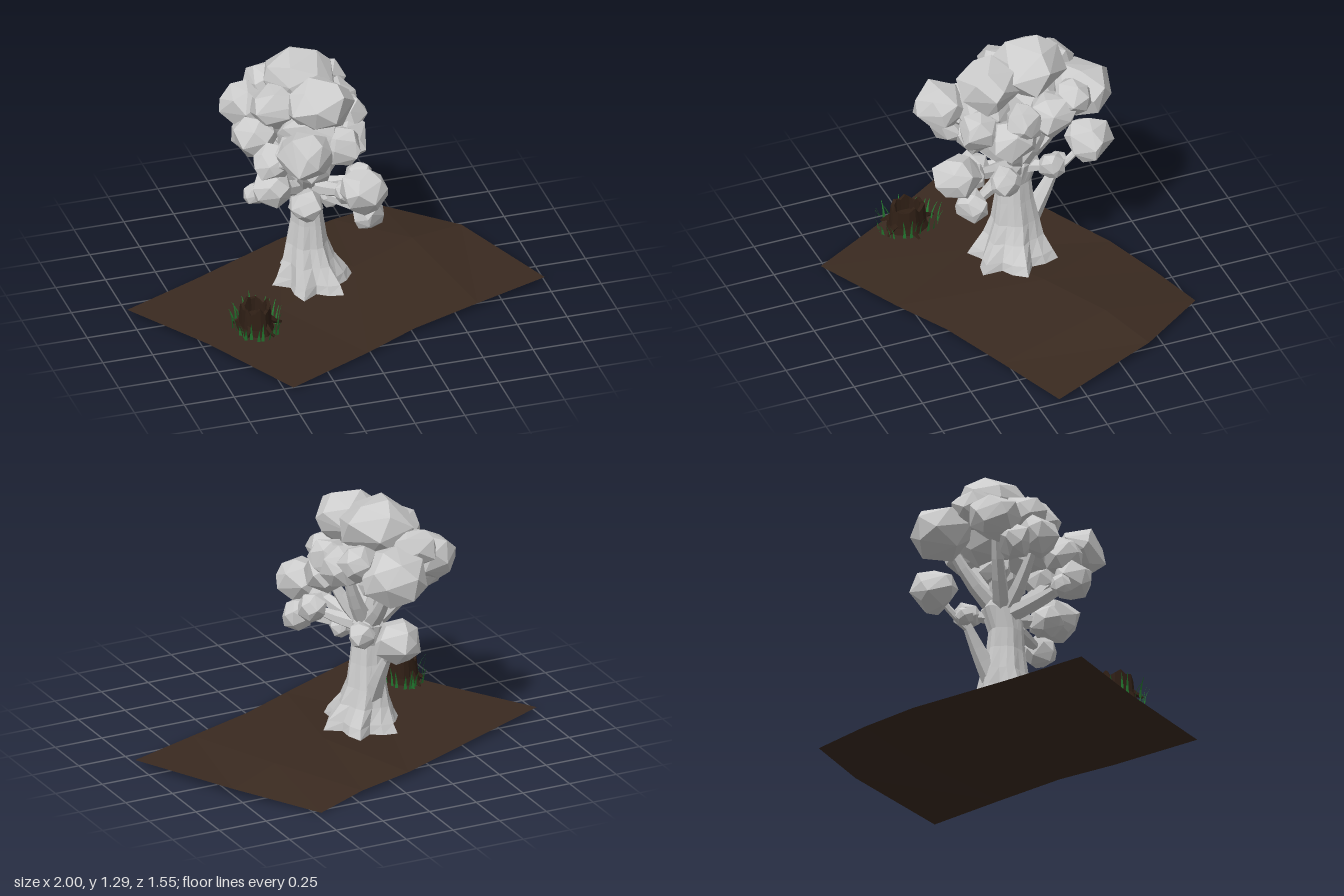
import * as THREE from 'three';
import { ConvexGeometry } from 'three/addons/geometries/ConvexGeometry.js';

let seed = 7;
const rand = () => (seed = (seed * 16807) % 2147483647) / 2147483647;
const vec = (p) => new THREE.Vector3(...p);

// Facets a geometry by giving each face its own normals
function faceted(geo) {
  const g = geo.index ? geo.toNonIndexed() : geo;
  g.computeVertexNormals();
  return g;
}

function add(parent, name, geo, mat) {
  const mesh = new THREE.Mesh(geo, mat);
  mesh.name = name;
  parent.add(mesh);
  return mesh;
}

// Surface through a grid of points, row by row
function sheet(rows) {
  const w = rows[0].length, index = [];
  for (let r = 0; r < rows.length - 1; r++) {
    for (let c = 0; c < w - 1; c++) {
      const a = r * w + c, b = a + w;
      index.push(a, b, a + 1, a + 1, b, b + 1);
    }
  }
  const g = new THREE.BufferGeometry();
  g.setAttribute('position', new THREE.Float32BufferAttribute(rows.flat(2), 3));
  g.setIndex(index);
  return faceted(g);
}

// Tapered tube along a smooth path
function limb(points, r0, r1, sides = 6, segs = 5) {
  const curve = new THREE.CatmullRomCurve3(points.map(vec));
  const g = new THREE.TubeGeometry(curve, segs, 1, sides);
  const p = g.attributes.position, v = new THREE.Vector3();
  for (let i = 0; i < p.count; i++) {
    const t = Math.floor(i / (sides + 1)) / segs, c = curve.getPointAt(t);
    v.fromBufferAttribute(p, i).sub(c).multiplyScalar(r0 + (r1 - r0) * t).add(c);
    p.setXYZ(i, v.x, v.y, v.z);
  }
  return faceted(g);
}

// Irregular faceted clump: hull of scattered points on a ball, larger ones flatter
function clump([x, y, z, r]) {
  const n = 20, turn = rand() * 6.28, flat = 1.15 - 2 * r, pts = [];
  for (let i = 0; i < n; i++) {
    const h = 1 - (2 * (i + 0.5)) / n, a = i * 2.4 + turn + (rand() - 0.5) * 0.8;
    const s = Math.sqrt(1 - h * h), k = r * (0.96 + rand() * 0.17);
    pts.push(new THREE.Vector3(x + s * Math.cos(a) * k, y + flat * h * k, z + s * Math.sin(a) * k));
  }
  return new ConvexGeometry(pts);
}

export function createModel() {
  const model = new THREE.Group();
  const material = (name, color, side = THREE.FrontSide) => {
    const m = new THREE.MeshStandardMaterial({ color, side });
    m.name = name;
    return m;
  };
  const grey = material('pale grey', 0xcccccc);
  const soil = material('soil brown', 0x3a2a20, THREE.DoubleSide);
  const bark = material('dark bark', 0x2f1f15, THREE.DoubleSide);
  const green = material('grass green', 0x23782f, THREE.DoubleSide);

  // Bent ground sheet
  add(model, 'ground', sheet([
    [[-1, 0.025, -0.155], [-0.6, 0.022, -0.34], [-0.1, 0.025, -0.58], [0.2, 0.025, -0.68], [0.47, 0, -0.78]],
    [[-0.73, 0.025, 0.27], [-0.3, 0.03, 0.07], [0.13, 0.075, -0.14], [0.48, 0.08, -0.31], [0.76, 0.042, -0.42]],
    [[-0.46, 0.015, 0.775], [-0.02, 0.015, 0.565], [0.26, 0.02, 0.42], [0.62, 0.022, 0.285], [1, 0.022, 0.145]],
  ]), soil);

  // Trunk rings flaring into root lobes: x, y, z, radius x, radius z, lobe depth
  const tree = new THREE.Group();
  tree.name = 'tree';
  model.add(tree);
  const sides = 18;
  const rings = [
    [-0.1, 0.09, -0.07, 0, 0, 0], [-0.1, 0.085, -0.07, 0.165, 0.185, 0.24], [-0.1, 0.13, -0.07, 0.15, 0.17, 0.2],
    [-0.115, 0.21, -0.08, 0.118, 0.135, 0.12], [-0.12, 0.3, -0.09, 0.095, 0.113, 0.08],
    [-0.12, 0.42, -0.085, 0.078, 0.093, 0.06], [-0.125, 0.52, -0.085, 0.072, 0.085, 0.05],
    [-0.12, 0.63, -0.105, 0.075, 0.1, 0.08], [-0.12, 0.7, -0.11, 0.045, 0.07, 0], [-0.12, 0.71, -0.11, 0, 0, 0],
  ];
  // Each ring runs from +x towards -z, so the faces look outwards
  const trunk = rings.map(([x, y, z, rx, rz, lobe]) => Array.from({ length: sides + 1 }, (_, i) => {
    const a = (i / sides) * Math.PI * 2, k = 1 + lobe * Math.cos(6 * a + 0.5);
    return [x + rx * k * Math.cos(a), y, z - rz * k * Math.sin(a)];
  })).reverse();
  add(tree, 'trunk', sheet(trunk), grey);

  // Foliage clumps: centre and radius; those marked 1 carry a branch from the fork
  const bearing = [
    [-0.1, 0.98, -0.42, 0.16], [-0.37, 0.99, -0.28, 0.125], [0.05, 0.98, -0.2, 0.12], [0.05, 0.88, 0, 0.115],
    [-0.39, 0.93, -0.06, 0.105], [-0.24, 0.97, 0.25, 0.13], [0.05, 0.74, 0.28, 0.115], [-0.37, 0.75, 0.15, 0.1],
    [-0.43, 0.68, 0.05, 0.05], [0.09, 0.58, 0.22, 0.08], [-0.18, 0.6, 0.1, 0.085], [-0.02, 0.62, -0.24, 0.065],
    [0.1, 0.68, 0.05, 0.075], [-0.15, 0.98, -0.18, 0.17], [-0.15, 0.82, 0.11, 0.095],
  ];
  const filling = [
    [-0.13, 1.15, -0.18, 0.178], [-0.1, 1.12, 0.05, 0.155], [-0.36, 0.87, 0.1, 0.095], [-0.03, 0.58, 0, 0.06],
    [-0.1, 0.66, -0.46, 0.118], [-0.14, 0.55, -0.32, 0.048], [-0.15, 0.96, 0.05, 0.15], [-0.13, 0.84, -0.15, 0.08],
    [-0.28, 1.07, -0.08, 0.125], [-0.25, 1.06, -0.33, 0.11], [0.04, 1.04, -0.32, 0.095], [0.07, 0.98, -0.06, 0.095],
    [-0.38, 0.88, -0.18, 0.09], [-0.25, 0.92, 0.14, 0.1], [-0.02, 0.92, 0.14, 0.1], [0, 0.68, 0.17, 0.06],
  ];
  for (const c of [...bearing, ...filling]) add(tree, 'foliage', clump(c), grey);

  // Branches from the fork to the clumps
  const fork = [-0.12, 0.6, -0.1];
  for (const [x, y, z] of bearing) {
    const mid = [(fork[0] + x) / 2, fork[1] + (y - fork[1]) * 0.4, (fork[2] + z) / 2];
    add(tree, 'branch', limb([fork, mid, [x, y, z]], 0.05, 0.018), grey);
  }
  // Low back branch
  add(tree, 'lowBranch', limb([[-0.12, 0.22, -0.13], [-0.12, 0.39, -0.23], [-0.13, 0.53, -0.31]], 0.06, 0.02), grey);
  add(tree, 'lowBranch', limb([[-0.13, 0.48, -0.28], [-0.11, 0.57, -0.37], [-0.1, 0.66, -0.46]], 0.02, 0.015), grey);

  // Hollow stump with a jagged rim
  const stump = new THREE.Group();
  stump.name = 'stump';
  stump.position.set(-0.505, 0.098, 0.31);
  model.add(stump);
  const profile = [[0.105, 0], [0.092, 0.03], [0.083, 0.12], [0.065, 0.12], [0.06, 0.06], [0, 0.055]];
  const shell = new THREE.LatheGeometry(profile.map(([x, y]) => new THREE.Vector2(x, y)), 18);
  const p = shell.attributes.position;
  for (let i = 0; i < p.count; i++) {
    const x = p.getX(i), z = p.getZ(i), a = Math.atan2(z, x + 1e-9);
    const k = 1 + 0.05 * Math.cos(5 * a);
    const jag = p.getY(i) > 0.1 ? 0.013 * Math.cos(7 * a + 1) + 0.012 * Math.cos(4 * a) : 0;
    p.setXYZ(i, x * k * 0.84, p.getY(i) + jag, z * k);
  }
  add(stump, 'stumpShell', faceted(shell), bark);
  const roots = [[0.135, -0.01], [-0.03, -0.15], [0.06, 0.12], [-0.09, -0.07], [-0.08, 0.1]];
  for (const [x, z] of roots) {
    add(stump, 'stumpRoot', limb([[x * 0.45, 0.05, z * 0.45], [x * 0.75, 0.022, z * 0.75 + 0.01], [x, 0.006, z]], 0.022, 0.006, 5, 4), bark);
  }

  // Curved tapering grass blades around the stump
  for (let i = 0; i < 24; i++) {
    const a = i * 2.4, r = 0.115 + rand() * 0.02, h = 0.07 + rand() * 0.045, lean = 0.015 + rand() * 0.025;
    const rows = [1, 0.75, 0.4, 0].map((t) => {
      const w = 0.008 * (1 - t * 0.85);
      return [[-w, h * t, lean * t * t], [w, h * t, lean * t * t]];
    });
    const blade = add(stump, 'grassBlade', sheet(rows), green);
    blade.position.set(Math.cos(a) * r * 0.8, 0, Math.sin(a) * r * 1.15);
    blade.rotation.y = Math.PI / 2 - a + (rand() - 0.5) * 1.2;
  }
  return model;
}
